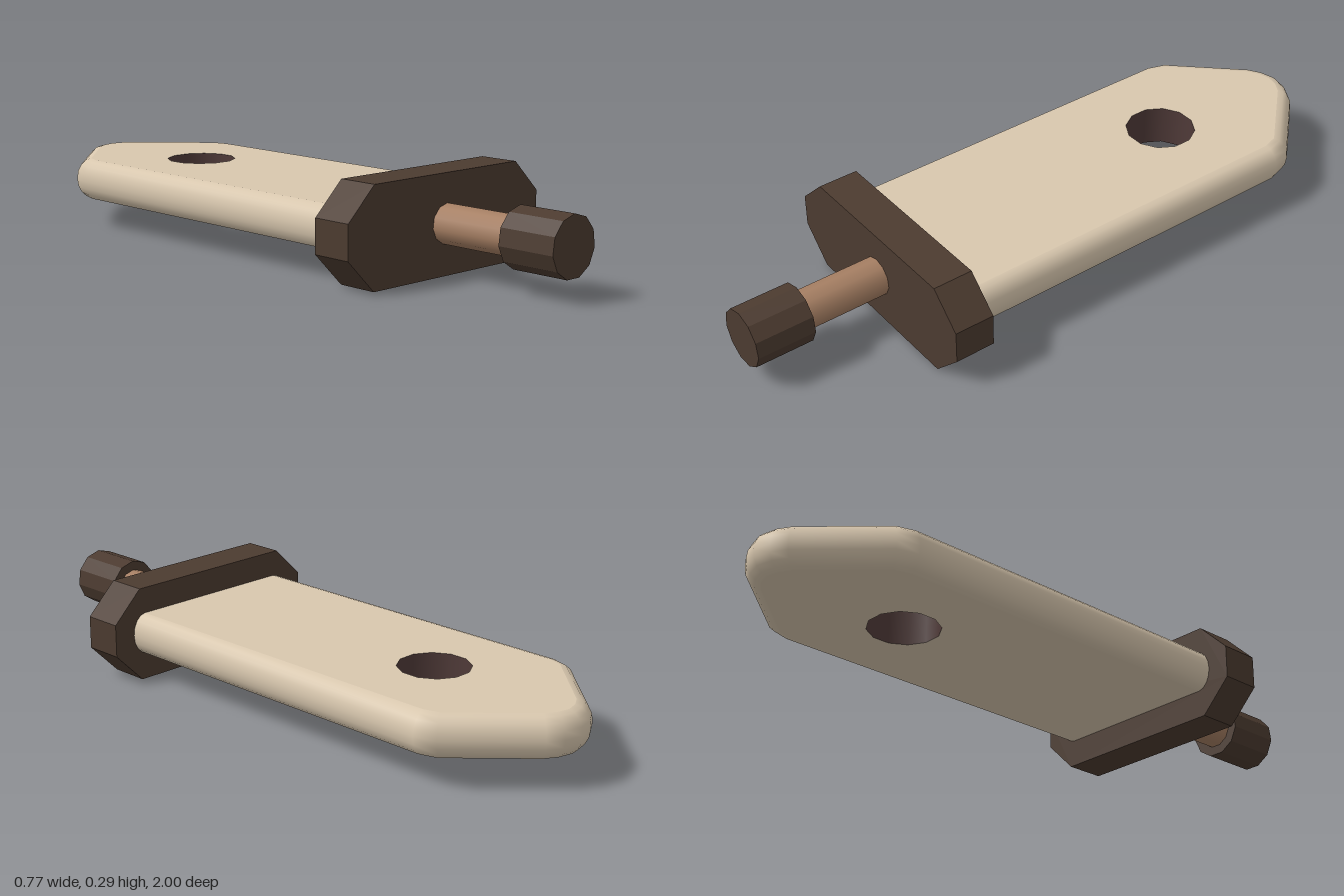
import * as THREE from 'three';

const MID_Y = 0.148;      // height of the long axis
const HALF_T = 0.063;     // half thickness of the blade
const BEVEL = 0.045;      // width of the rounded blade edge
const HOLE = { z: -0.49, r: 0.107, sides: 12 };

const mat = (color, extra = {}) =>
  new THREE.MeshStandardMaterial({ color, roughness: 0.8, ...extra });

function part(name, geometry, material) {
  const mesh = new THREE.Mesh(geometry, material);
  mesh.name = name;
  return mesh;
}

// Eleven-sided rod along z with one corner pointing up
function rod(name, radius, z0, z1, material) {
  const geo = new THREE.CylinderGeometry(radius, radius, z1 - z0, 11);
  geo.rotateX(-Math.PI / 2).translate(0, MID_Y, (z0 + z1) / 2);
  return part(name, geo, material);
}

// Moves an open outline inwards (to its left), mitring the corners
function inset(points, d) {
  return points.map((p, i) => {
    const prev = points[Math.max(i - 1, 0)];
    const next = points[Math.min(i + 1, points.length - 1)];
    const a = (i > 0 ? p.clone().sub(prev) : next.clone().sub(p)).normalize();
    const b = (i < points.length - 1 ? next.clone().sub(p) : a.clone()).normalize();
    const n = new THREE.Vector2(-a.y - b.y, a.x + b.x).normalize();
    const miter = -n.x * a.y + n.y * a.x;
    return p.clone().addScaledVector(n, d / miter);
  });
}

// Rounded blade edge: inset outlines stacked on an arc
function bladeRim(outline, steps = 8) {
  const pos = [], index = [], n = outline.length;
  for (let j = 0; j <= steps; j++) {
    const a = Math.PI * (j / steps - 0.5);
    for (const p of inset(outline, BEVEL * (1 - Math.cos(a))))
      pos.push(p.x, HALF_T * Math.sin(a), -p.y);
  }
  for (let j = 0; j < steps; j++)
    for (let i = 0; i < n - 1; i++) {
      const a = j * n + i, b = a + 1, c = a + n, d = c + 1;
      index.push(a, b, c, b, d, c);
    }
  const geo = new THREE.BufferGeometry();
  geo.setAttribute('position', new THREE.Float32BufferAttribute(pos, 3));
  geo.setIndex(index);
  geo.computeVertexNormals();
  return geo;
}

// Flat blade face with the hole cut out
function bladeFace(outline) {
  const shape = new THREE.Shape(inset(outline, BEVEL));
  const hole = [];
  for (let k = 0; k < HOLE.sides; k++) {
    const a = ((k + 0.5) / HOLE.sides) * Math.PI * 2;
    hole.push(new THREE.Vector2(HOLE.r * Math.cos(a), HOLE.r * Math.sin(a) - HOLE.z));
  }
  shape.holes.push(new THREE.Path(hole));
  return new THREE.ShapeGeometry(shape).rotateX(-Math.PI / 2).translate(0, HALF_T, 0);
}

function createBlade() {
  const blade = new THREE.Group();
  blade.name = 'blade';
  blade.position.y = MID_Y;
  const bone = mat(0xd8c7ae, { side: THREE.DoubleSide });

  // Half outline from guard to tip, then mirrored
  const half = [[0.315, -0.47], [0.315, 0.69], [0.295, 0.755], [0.1, 0.96], [0.055, 0.987]];
  const outline = [...half, [0, 1], ...half.map(([x, y]) => [-x, y]).reverse()]
    .map(([x, y]) => new THREE.Vector2(x, y));

  const face = bladeFace(outline);
  const wall = new THREE.CylinderGeometry(HOLE.r, HOLE.r, HALF_T * 2, HOLE.sides, 1, true,
    Math.PI / HOLE.sides).translate(0, 0, HOLE.z);
  blade.add(
    part('bladeEdge', bladeRim(outline), bone),
    part('bladeTop', face, bone),
    part('bladeBottom', face.clone().rotateZ(Math.PI), bone),
    part('holeWall', wall, mat(0x4f3a38, { side: THREE.DoubleSide })),
  );
  return blade;
}

// Octagonal plate between blade and handle
function createGuard(material) {
  const shape = new THREE.Shape([
    [0.288, 0], [0.385, 0.097], [0.385, 0.197], [0.288, 0.291],
    [-0.288, 0.291], [-0.385, 0.197], [-0.385, 0.097], [-0.288, 0],
  ].map(([x, y]) => new THREE.Vector2(x, y)));
  const geo = new THREE.ExtrudeGeometry(shape, { depth: 0.124, bevelEnabled: false });
  return part('guard', geo.translate(0, 0, 0.438), material);
}

export function createModel() {
  const model = new THREE.Group();
  model.name = 'paddleBlade';
  const dark = mat(0x4c3b30, { flatShading: true });
  model.add(
    createBlade(),
    createGuard(dark),
    rod('handle', 0.058, 0.55, 0.83, mat(0xa67f63)),
    rod('pommel', 0.088, 0.82, 1, dark),
  );
  model.rotation.y = -0.009; // slight skew of the long axis
  return model;
}
